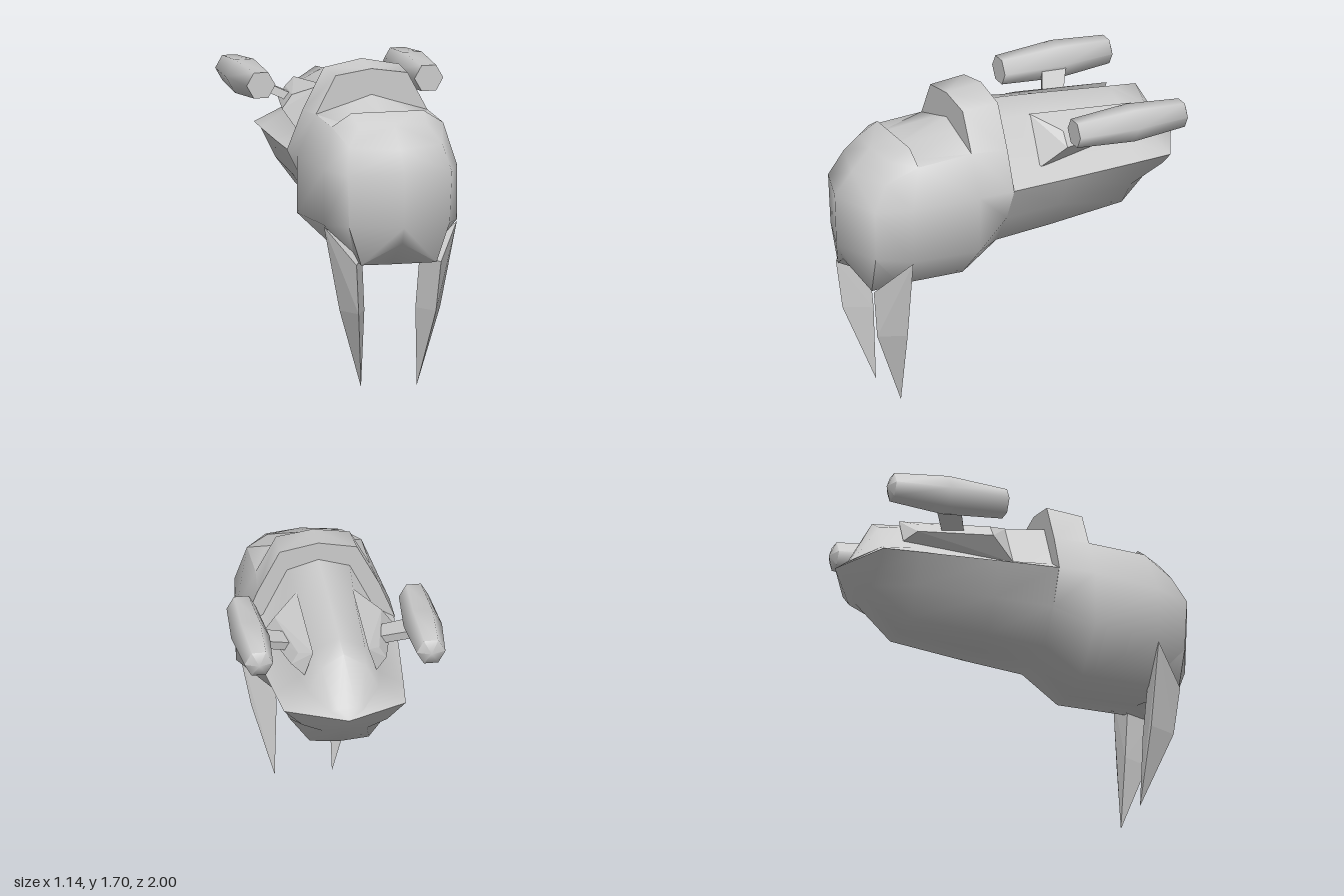
import * as THREE from 'three';
import { toCreasedNormals } from 'three/addons/utils/BufferGeometryUtils.js';
import { ConvexGeometry } from 'three/addons/geometries/ConvexGeometry.js';

const material = new THREE.MeshStandardMaterial({ color: 0xcccccc, side: THREE.DoubleSide });

function addMesh(parent, name, geometry) {
  const mesh = new THREE.Mesh(geometry, material);
  mesh.name = name;
  parent.add(mesh);
  return mesh;
}

// Joins half sections (top centre to bottom centre, on +x) into a mirrored skin.
function loft(sections, crease) {
  const rings = sections.map(({ z, pts }) => {
    const half = pts.map((p) => new THREE.Vector3(p[0], p[1], p[2] ?? z));
    const other = half.slice(1, -1).reverse().map((v) => new THREE.Vector3(-v.x, v.y, v.z));
    return [...half, ...other];
  });
  const positions = [];
  const triangle = (a, b, c) => {
    const area = b.clone().sub(a).cross(c.clone().sub(a)).length();
    if (area > 1e-7) for (const v of [a, b, c]) positions.push(v.x, v.y, v.z);
  };
  for (let s = 0; s < rings.length - 1; s++) {
    const n = rings[s].length;
    for (let i = 0; i < n; i++) {
      const j = (i + 1) % n;
      const [a, b, c, d] = [rings[s][i], rings[s][j], rings[s + 1][j], rings[s + 1][i]];
      // Mirror the diagonals as well
      if (i < n / 2) { triangle(a, b, c); triangle(a, c, d); }
      else { triangle(a, b, d); triangle(b, c, d); }
    }
  }
  const geometry = new THREE.BufferGeometry();
  geometry.setAttribute('position', new THREE.Float32BufferAttribute(positions, 3));
  return toCreasedNormals(geometry, crease);
}

// Flat-sided solid around a few corners, mirrored in x by side.
function solid(corners, side) {
  return new ConvexGeometry(corners.map(([x, y, z]) => new THREE.Vector3(x * side, y, z)));
}

// Snout, from the centre ridge back to the brow step
const snout = [
  { pts: [[0, 1.44, 0.79], [0, 1.44, 0.79], [0, 1.32, 0.9], [0, 1.2, 1], [0, 0.91, 0.99], [0, 0.82, 0.95], [0, 0.82, 0.95]] },
  { pts: [[0, 1.44, 0.79], [0.19, 1.43, 0.77], [0.26, 1.33, 0.82], [0.29, 1.19, 0.9], [0.28, 0.91, 0.89], [0.21, 0.7, 0.88], [0, 0.82, 0.95]] },
  { pts: [[0, 1.49, 0.65], [0.2, 1.49, 0.65], [0.31, 1.42, 0.65], [0.37, 1.2, 0.71], [0.37, 0.9, 0.71], [0.2, 0.705, 0.71], [0, 0.67, 0.71]] },
];
// Canopy slope, raised collar and its drop to the rear deck
const middle = [
  { z: 0.65, pts: [[0, 1.42], [0.2, 1.42], [0.31, 1.42], [0.37, 1.2, 0.71], [0.37, 0.9, 0.71], [0.2, 0.705, 0.71], [0, 0.67, 0.71]] },
  { z: 0.335, pts: [[0, 1.535], [0.11, 1.5], [0.31, 1.44], [0.415, 1.22], [0.415, 0.91], [0.2, 0.705], [0, 0.67]] },
  { z: 0.335, pts: [[0, 1.675], [0.2, 1.645], [0.31, 1.44], [0.415, 1.22], [0.415, 0.91], [0.2, 0.705], [0, 0.67]] },
  { z: 0.13, pts: [[0, 1.7], [0.21, 1.66], [0.33, 1.43], [0.415, 1.22], [0.32, 1.03], [0.19, 0.85], [0, 0.83]] },
];
// Rear deck and keel, closing at the tail point
const rear = [
  { z: 0.13, pts: [[0, 1.6], [0.17, 1.55], [0.3, 1.29], [0.41, 1.22], [0.32, 1.03], [0.19, 0.85], [0, 0.83]] },
  { z: -0.2, pts: [[0, 1.572], [0.15, 1.51], [0.27, 1.275], [0.387, 1.22], [0.3, 1.04], [0.18, 0.875], [0, 0.86]] },
  { z: -0.63, pts: [[0, 1.53], [0.14, 1.465], [0.215, 1.31], [0.35, 1.22], [0.27, 1.06], [0.16, 0.915], [0, 0.9]] },
  { z: -0.79, pts: [[0, 1.515], [0.12, 1.44], [0.19, 1.3], [0.33, 1.22, -0.84], [0.23, 1.13, -0.84], [0.12, 1.085, -0.84], [0, 1.08, -0.84]] },
  { z: -0.93, pts: [[0, 1.265], [0.05, 1.26], [0.09, 1.245], [0, 1.22, -1], [0, 1.22, -1], [0, 1.22, -1], [0, 1.22, -1]] },
  { z: -1, pts: Array(7).fill([0, 1.22]) },
];

const tuskCorners = [
  [0.37, 0.89, 0.71], [0.31, 0.7, 0.72], [0.16, 0.72, 0.72], [0.235, 0.7, 0.88],
  [0.28, 0.43, 0.7], [0.142, 0.43, 0.7], [0.215, 0.43, 0.85], [0.155, 0.005, 0.68],
];
const podCorners = [
  [0.15, 1.53, -0.085], [0.285, 1.27, -0.085], [0.15, 1.48, -0.69], [0.195, 1.345, -0.68],
  [0.345, 1.385, -0.22], [0.29, 1.46, -0.22], [0.258, 1.385, -0.62], [0.22, 1.445, -0.61],
];
const strutCorners = [];
for (const [x, y, z0, z1] of [[0.24, 1.41, -0.345, -0.47], [0.42, 1.49, -0.43, -0.575]]) {
  for (const z of [z0, z1]) strutCorners.push([x, y - 0.022, z], [x - 0.012, y + 0.022, z]);
}

// Six-sided barrel, widest in the middle, with a shallow point behind
function barrelGeometry() {
  const profile = [[0, -0.335], [0.078, -0.305], [0.104, 0], [0.08, 0.335], [0, 0.335]];
  const points = profile.map(([r, h]) => new THREE.Vector2(r, h));
  const geometry = new THREE.LatheGeometry(points, 6).toNonIndexed();
  geometry.rotateY(Math.PI / 2);
  geometry.rotateX(Math.PI / 2);
  return toCreasedNormals(geometry, 1.15);
}

export function createModel() {
  const model = new THREE.Group();
  model.name = 'tuskedCraft';
  addMesh(model, 'hull', loft([...snout, ...middle, ...rear], 1.1));

  for (const [label, side] of [['left', 1], ['right', -1]]) {
    addMesh(model, label + 'Tusk', solid(tuskCorners, side));
    addMesh(model, label + 'SidePod', solid(podCorners, side));
    const gun = new THREE.Group();
    gun.name = label + 'Gun';
    addMesh(gun, label + 'GunStrut', solid(strutCorners, side));
    addMesh(gun, label + 'GunBarrel', barrelGeometry()).position.set(0.467 * side, 1.52, -0.535);
    model.add(gun);
  }
  return model;
}
